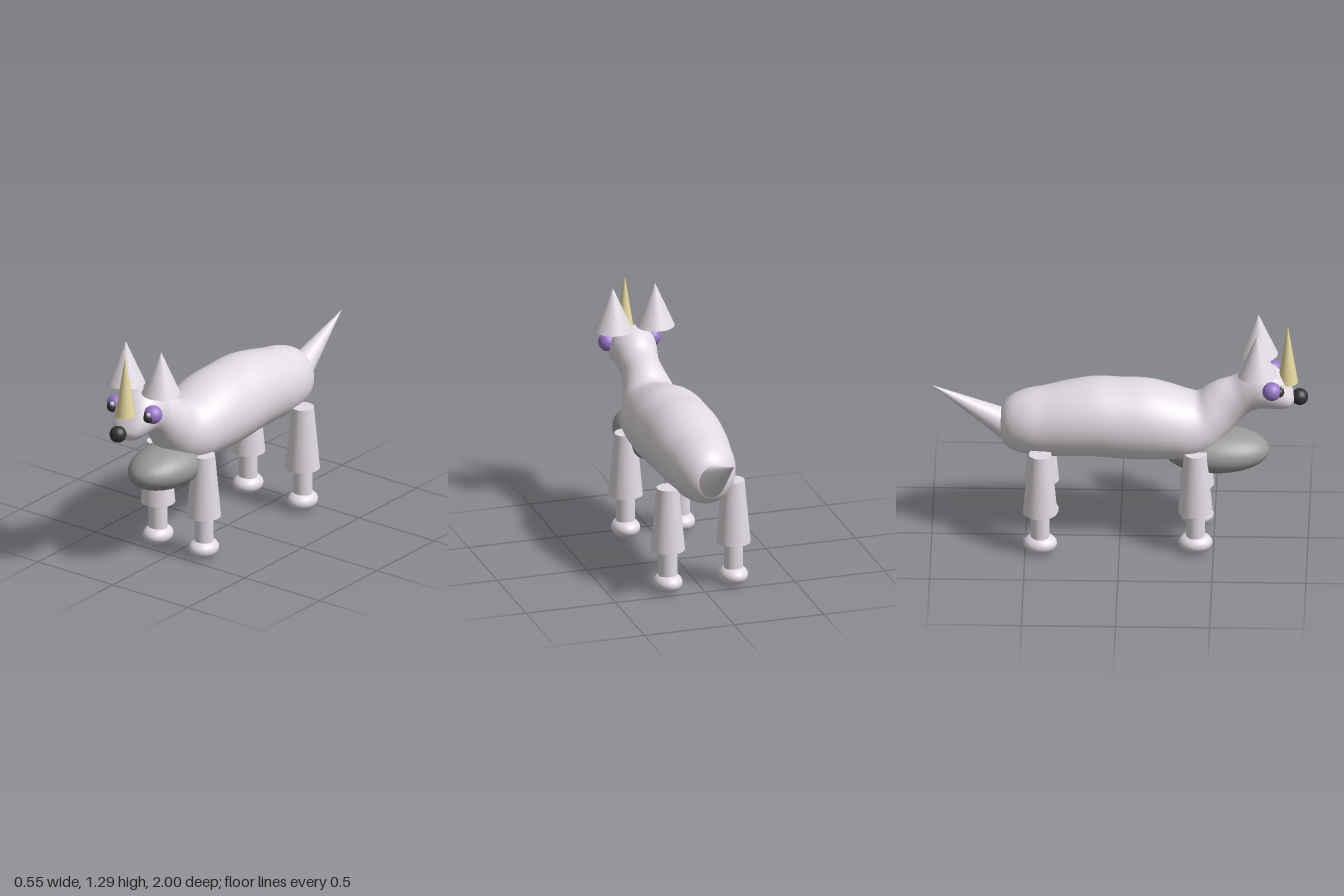
import * as THREE from 'three';

const paint = (color) => new THREE.MeshStandardMaterial({ color });
const MAT = {
  coat: paint(0xe2dce2),
  chest: paint(0x999999),
  horn: paint(0xe8daa0),
  eye: paint(0x9a78c8),
  dark: paint(0x333336),
  glint: paint(0xcccccc),
};

function add(parent, name, geometry, material, x, y, z) {
  const mesh = new THREE.Mesh(geometry, material);
  mesh.name = name;
  mesh.position.set(x, y, z);
  parent.add(mesh);
  return mesh;
}

const ball = (rx, ry = rx, rz = rx) => new THREE.SphereGeometry(1, 32, 24).scale(rx, ry, rz);
const cone = (r, h) => new THREE.ConeGeometry(r, h, 32, 6);

// Rump-to-snout sections: top z, top y, bottom z, bottom y, half width
const SECTIONS = [
  [-0.64, 0.72, -0.64, 0.65, 0.04],
  [-0.625, 0.78, -0.63, 0.59, 0.09],
  [-0.58, 0.83, -0.585, 0.54, 0.135],
  [-0.50, 0.865, -0.50, 0.515, 0.17],
  [-0.40, 0.885, -0.40, 0.505, 0.187],
  [-0.28, 0.915, -0.28, 0.51, 0.205],
  [-0.13, 0.94, -0.13, 0.51, 0.215],
  [0.00, 0.935, 0.00, 0.50, 0.22],
  [0.15, 0.93, 0.15, 0.495, 0.22],
  [0.27, 0.90, 0.27, 0.50, 0.21],
  [0.36, 0.872, 0.39, 0.505, 0.19],
  [0.41, 0.867, 0.50, 0.56, 0.16],
  [0.46, 0.905, 0.57, 0.64, 0.135],
  [0.515, 0.94, 0.62, 0.70, 0.115],
  [0.60, 0.97, 0.675, 0.76, 0.108],
  [0.66, 1.02, 0.71, 0.785, 0.115],
  [0.74, 1.052, 0.755, 0.80, 0.125],
  [0.80, 1.04, 0.82, 0.795, 0.12],
  [0.85, 1.00, 0.87, 0.795, 0.105],
  [0.90, 0.93, 0.90, 0.805, 0.08],
  [0.925, 0.88, 0.92, 0.825, 0.045],
];

// Smooth closed skin of elliptical rings, with a pole at each end
function bodyGeometry() {
  const top = new THREE.CatmullRomCurve3(SECTIONS.map(([z, y, , , w]) => new THREE.Vector3(w, y, z)));
  const bottom = new THREE.CatmullRomCurve3(SECTIONS.map(([, , z, y, w]) => new THREE.Vector3(w, y, z)));
  const rings = 80, sides = 40, pos = [], index = [];
  for (let i = 0; i <= rings; i++) {
    const a = top.getPoint(i / rings), b = bottom.getPoint(i / rings);
    for (let j = 0; j < sides; j++) {
      const t = (j / sides) * Math.PI * 2, k = (1 + Math.cos(t)) / 2;
      pos.push(a.x * Math.sin(t), b.y + (a.y - b.y) * k, b.z + (a.z - b.z) * k);
    }
  }
  for (let i = 0; i < rings; i++) {
    for (let j = 0; j < sides; j++) {
      const n = (j + 1) % sides;
      const a = i * sides + j, b = i * sides + n, c = a + sides, d = b + sides;
      index.push(a, c, b, b, c, d);
    }
  }
  const back = pos.length / 3, front = back + 1, last = rings * sides;
  pos.push(0, 0.685, -0.645, 0, 0.852, 0.935);
  for (let j = 0; j < sides; j++) {
    const n = (j + 1) % sides;
    index.push(back, j, n, front, last + n, last + j);
  }
  const g = new THREE.BufferGeometry();
  g.setAttribute('position', new THREE.Float32BufferAttribute(pos, 3));
  g.setIndex(index);
  g.computeVertexNormals();
  return g;
}

function makeLeg(name, x, z) {
  const leg = new THREE.Group();
  leg.name = name;
  leg.position.set(x, 0, z);
  add(leg, 'upperLeg', new THREE.CylinderGeometry(0.06, 0.092, 0.35, 32), MAT.coat, 0, 0.415, 0);
  add(leg, 'lowerLeg', new THREE.CylinderGeometry(0.051, 0.051, 0.2, 32), MAT.coat, 0, 0.18, 0);
  add(leg, 'foot', ball(0.077, 0.053, 0.09), MAT.coat, 0, 0.053, 0);
  return leg;
}

export function createModel() {
  const model = new THREE.Group();
  model.name = 'hornedAnimal';

  add(model, 'bodyNeckAndHead', bodyGeometry(), MAT.coat, 0, 0, 0);
  add(model, 'chest', ball(0.17, 0.118, 0.285), MAT.chest, 0, 0.535, 0.51);

  // Tail: cone rising backwards at 30 degrees
  const tail = add(model, 'tail', cone(0.084, 0.475), MAT.coat, 0, 0.782, -0.794);
  tail.rotation.x = -Math.PI / 3;

  add(model, 'nose', ball(0.045), MAT.dark, 0, 0.857, 0.955);
  add(model, 'horn', cone(0.054, 0.34), MAT.horn, 0, 1.115, 0.892);

  for (const s of [1, -1]) {
    const side = s > 0 ? 'left' : 'right';
    model.add(makeLeg(side + 'FrontLeg', s * 0.153, 0.405));
    model.add(makeLeg(side + 'BackLeg', s * 0.183, -0.42));
    add(model, side + 'Ear', cone(0.104, 0.238), MAT.coat, s * 0.118, 1.169, 0.733);
    add(model, side + 'Eye', ball(0.05), MAT.eye, s * 0.123, 0.953, 0.81);
    add(model, side + 'Pupil', ball(0.028), MAT.dark, s * 0.122, 0.948, 0.848);
    // Both glints sit on the same side of their pupils
    add(model, side + 'EyeGlint', ball(0.012), MAT.glint, s * 0.122 + 0.012, 0.972, 0.865);
  }
  return model;
}
